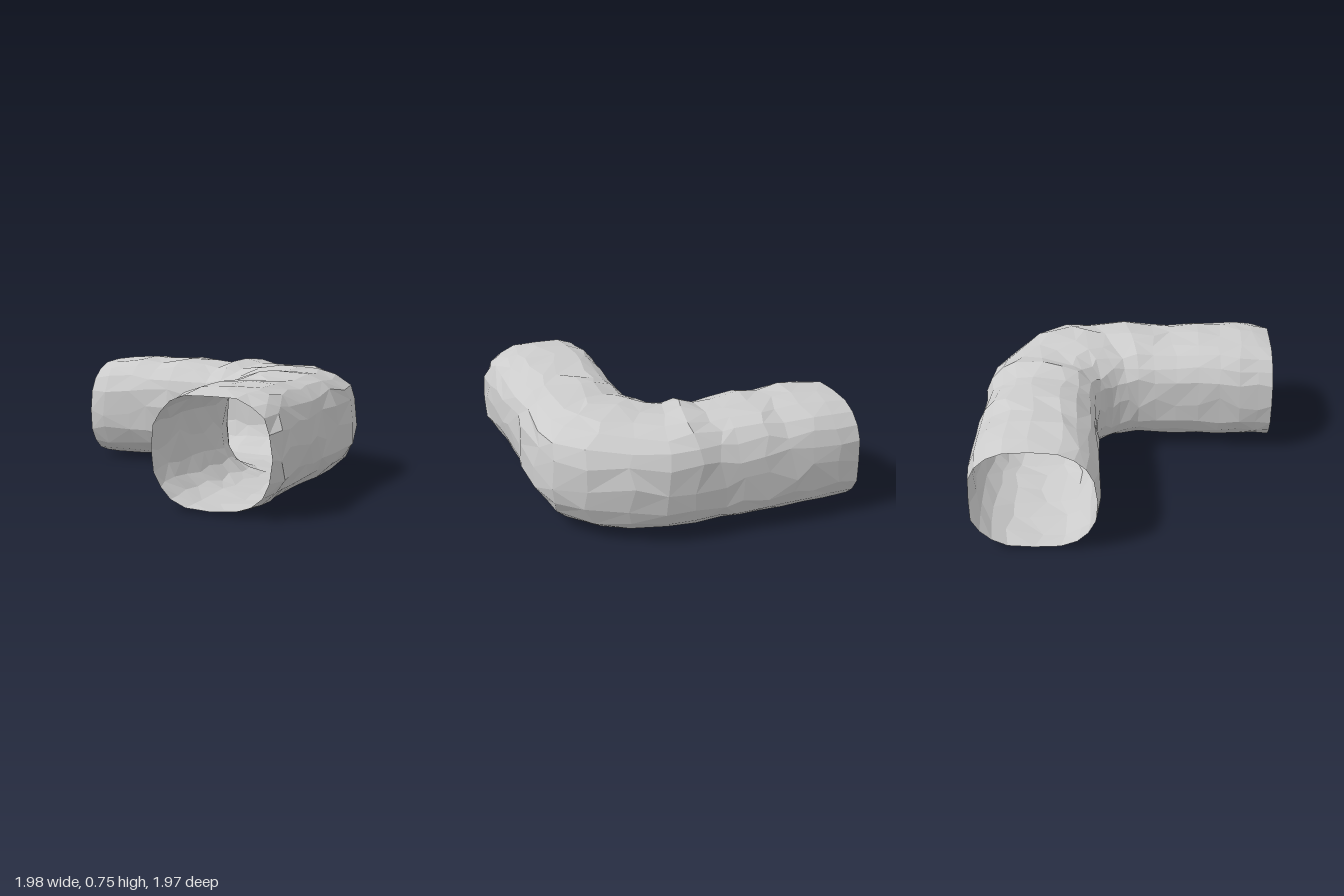
import * as THREE from 'three';

// Stations along the tunnel: outer wall x, z, inner wall x, z, floor y, roof y
const STATIONS = [
  [-1.0, -0.96, -1.0, -0.18, 0.03, 0.71],
  [-0.85, -0.98, -0.88, -0.16, 0.03, 0.73],
  [-0.68, -0.98, -0.68, -0.17, 0.03, 0.745],
  [-0.52, -0.98, -0.54, -0.18, 0.03, 0.73],
  [-0.36, -0.98, -0.38, -0.19, 0.03, 0.745],
  [-0.2, -0.97, -0.22, -0.2, 0.03, 0.73],
  [-0.08, -0.96, -0.1, -0.21, 0.035, 0.72],
  [0.1, -0.97, 0.0, -0.2, 0.035, 0.755],
  [0.3, -0.95, 0.06, -0.17, 0.03, 0.73],
  [0.5, -0.87, 0.1, -0.15, 0.02, 0.73],
  [0.74, -0.74, 0.13, -0.11, 0.01, 0.755],
  [0.91, -0.55, 0.15, -0.06, 0.02, 0.75],
  [0.95, -0.36, 0.17, 0.0, 0.03, 0.73],
  [0.96, -0.05, 0.18, 0.07, 0.03, 0.755],
  [0.94, 0.12, 0.18, 0.18, 0.03, 0.735],
  [0.95, 0.28, 0.175, 0.32, 0.03, 0.73],
  [0.955, 0.45, 0.17, 0.47, 0.03, 0.74],
  [0.965, 0.62, 0.165, 0.62, 0.03, 0.74],
  [0.975, 0.76, 0.16, 0.76, 0.03, 0.745],
  [0.985, 0.88, 0.165, 0.88, 0.03, 0.73],
  [0.95, 0.98, 0.175, 0.98, 0.03, 0.71],
];
const SIDES = 20;

// Seeded random in -1..1 for the rocky unevenness
function makeRandom(seed) {
  return () => {
    seed = (seed * 16807) % 2147483647;
    return (seed / 2147483647) * 2 - 1;
  };
}

// Rounded-square section between the two walls
const soften = (v) => Math.sign(v) * Math.pow(Math.abs(v), 0.75);

function tunnelGeometry() {
  const random = makeRandom(4711);
  const last = STATIONS.length - 1;
  const positions = [];
  const index = [];

  STATIONS.forEach(([ox, oz, ix, iz, floor, roof], i) => {
    const atEnd = i === 0 || i === last;
    // Unit direction along the tunnel, square to the section
    const along = new THREE.Vector2(iz - oz, ox - ix).normalize();
    for (let j = 0; j < SIDES; j++) {
      const a = ((j + (atEnd ? 0 : random() * 0.22)) / SIDES) * Math.PI * 2;
      const swell = 1 + random() * 0.018;
      const u = 0.5 + 0.5 * soften(Math.cos(a)) * swell;
      const v = 0.5 + 0.5 * soften(Math.sin(a)) * swell;
      // Shift vertices lengthwise, but keep the mouths flat
      const slide = atEnd ? 0 : random() * (0.01 + 0.025 * u);
      positions.push(
        ix + (ox - ix) * u + along.x * slide,
        Math.max(0, floor + (roof - floor) * v),
        iz + (oz - iz) * u + along.y * slide,
      );
    }
  });

  // Skin with irregular diagonals
  for (let i = 0; i < last; i++) {
    for (let j = 0; j < SIDES; j++) {
      const k = (j + 1) % SIDES;
      const a = i * SIDES + j;
      const b = i * SIDES + k;
      const c = a + SIDES;
      const d = b + SIDES;
      if (random() > 0) index.push(a, b, c, b, d, c);
      else index.push(a, b, d, a, d, c);
    }
  }

  const geometry = new THREE.BufferGeometry();
  geometry.setAttribute('position', new THREE.Float32BufferAttribute(positions, 3));
  geometry.setIndex(index);
  const faceted = geometry.toNonIndexed();
  faceted.computeVertexNormals();
  return faceted;
}

export function createModel() {
  const model = new THREE.Group();
  model.name = 'caveTunnelCorner';

  // Open-ended rocky tunnel with a right-angle bend
  const rock = new THREE.MeshStandardMaterial({
    color: 0xcccccc,
    flatShading: true,
    side: THREE.DoubleSide,
  });
  const tunnel = new THREE.Mesh(tunnelGeometry(), rock);
  tunnel.name = 'tunnelWall';
  model.add(tunnel);

  return model;
}
